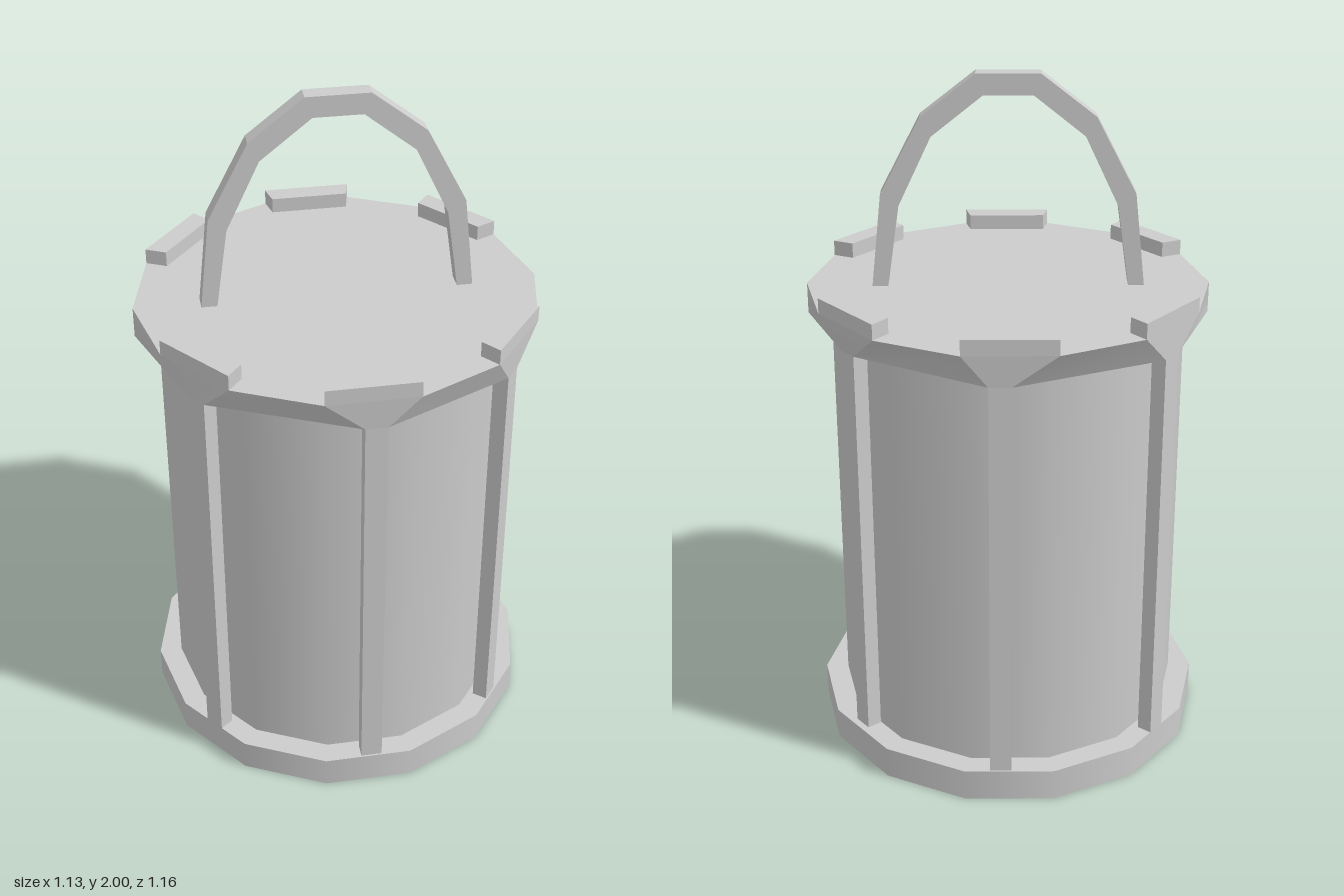
import * as THREE from 'three';
import { toCreasedNormals } from 'three/addons/utils/BufferGeometryUtils.js';

const SIDES = 14, RADIUS = 0.58;
const BASE_TOP = 0.095, CAP_BOTTOM = 1.3, CAP_TOP = 1.39, TAB_TOP = 1.435;

// Sides that carry a tab and a post: [side, post start, post end, post inset]
const BAYS = [
  [0, 0.31, 0.53, 0.005],
  [3, 0.29, 0.52, 0.02],
  [5, 0.28, 0.52, 0.005],
  [7, 0.38, 0.61, 0],
  [10, 0.38, 0.62, 0],
  [12, 0.42, 0.66, 0.005],
];

// Corner of the plan polygon, counted from the front towards the left
function corner(i, r = RADIUS) {
  const a = (i / SIDES) * Math.PI * 2;
  return new THREE.Vector2(r * Math.sin(a), r * Math.cos(a)); // x, z
}

// Point along one side of the polygon, moved inward by inset
function onSide(side, t, inset) {
  const a = ((side + 0.5) / SIDES) * Math.PI * 2;
  const p = corner(side).lerp(corner(side + 1), t);
  return p.sub(new THREE.Vector2(Math.sin(a), Math.cos(a)).multiplyScalar(inset));
}

// Closed solid between two plan outlines with the same number of points
function loft(low, y0, high, y1, crease) {
  const pos = [];
  const put = (p, y) => pos.push(p.x, y, p.y);
  const centre = (ps) => ps.reduce((s, p) => s.add(p), new THREE.Vector2()).divideScalar(ps.length);
  const cl = centre(low), ch = centre(high), n = low.length;
  for (let i = 0; i < n; i++) {
    const j = (i + 1) % n;
    put(low[i], y0); put(low[j], y0); put(high[j], y1);
    put(low[i], y0); put(high[j], y1); put(high[i], y1);
    put(ch, y1); put(high[i], y1); put(high[j], y1);
    put(cl, y0); put(low[j], y0); put(low[i], y0);
  }
  const g = new THREE.BufferGeometry();
  g.setAttribute('position', new THREE.Float32BufferAttribute(pos, 3));
  return toCreasedNormals(g, crease);
}

export function createModel() {
  const group = new THREE.Group();
  const material = new THREE.MeshStandardMaterial({ color: 0xcccccc });
  const add = (name, geometry) => {
    const mesh = new THREE.Mesh(geometry, material);
    mesh.name = name;
    group.add(mesh);
    return mesh;
  };

  // Base plate and inner drum
  add('base', new THREE.CylinderGeometry(RADIUS, RADIUS, BASE_TOP, SIDES)).position.y = BASE_TOP / 2;
  const drumHeight = CAP_BOTTOM - BASE_TOP + 0.04;
  add('drum', new THREE.CylinderGeometry(0.512, 0.512, drumHeight, SIDES, 1, true))
    .position.y = BASE_TOP - 0.02 + drumHeight / 2;

  // Cap: its lower corners are drawn together onto the post heads
  const high = Array.from({ length: SIDES }, (_, i) => corner(i));
  const low = high.map((p) => p.clone());
  for (const [side, t0, t1, inset] of BAYS) {
    low[side] = onSide(side, t0, inset);
    low[side + 1] = onSide(side, t1, inset);
  }
  add('cap', loft(low, CAP_BOTTOM, high, CAP_TOP, 0.55));

  // Posts and the tabs above them
  for (const [side, t0, t1, inset] of BAYS) {
    const post = [
      onSide(side, t0, inset), onSide(side, t1, inset),
      onSide(side, t1, inset + 0.045), onSide(side, t0, inset + 0.045),
    ];
    add('post', loft(post, BASE_TOP - 0.01, post, CAP_BOTTOM + 0.005, 0.4));
    const r = RADIUS * 0.89;
    const tab = [corner(side), corner(side + 1), corner(side + 1, r), corner(side, r)];
    add('tab', loft(tab, CAP_TOP, tab, TAB_TOP, 0.4));
  }

  // Arched carrying handle, set diagonally across the cap
  const outer = [[0.39, 1.385], [0.36, 1.66], [0.245, 1.88], [0.09, 2]];
  const inner = [[0.345, 1.385], [0.31, 1.625], [0.215, 1.825], [0.07, 1.94]];
  const mirror = (pts) => pts.map(([x, y]) => [-x, y]).reverse();
  const outline = [...outer, ...mirror(outer), ...mirror(inner).reverse(), ...inner.slice().reverse()];
  const shape = new THREE.Shape(outline.map(([x, y]) => new THREE.Vector2(x, y)));
  const arch = new THREE.ExtrudeGeometry(shape, { depth: 0.052, bevelEnabled: false });
  arch.translate(0, 0, -0.026);
  add('handle', arch).rotation.y = -0.672;

  return group;
}
